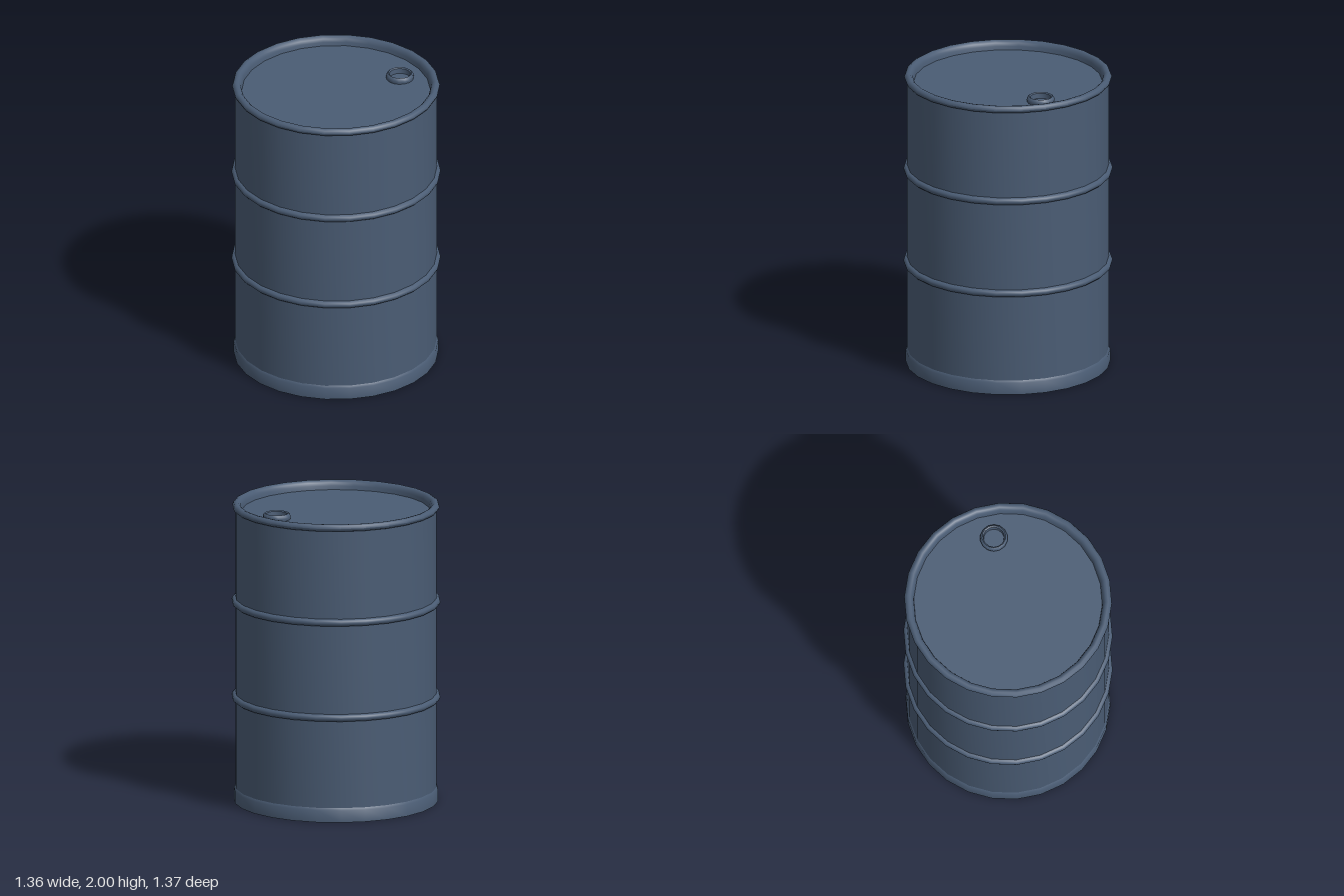
import * as THREE from 'three';
import { toCreasedNormals } from 'three/addons/utils/BufferGeometryUtils.js';

const SIDES = 26;

export function createModel() {
  const group = new THREE.Group();
  const steel = new THREE.MeshStandardMaterial({ color: 0x4a5c74 });
  steel.name = 'blue grey steel';

  // Turns a profile of [radius, height] points, listed counter-clockwise
  function turn(name, profile, sides = SIDES) {
    const points = profile.map(([r, y]) => new THREE.Vector2(r, y));
    const geometry = toCreasedNormals(new THREE.LatheGeometry(points, sides), 0.85);
    const mesh = new THREE.Mesh(geometry, steel);
    mesh.name = name;
    group.add(mesh);
    return mesh;
  }

  // Straight wall of the drum
  turn('body', [[0.66, 0.08], [0.66, 1.96]]);

  // Raised band at the foot, with a recessed floor
  turn('baseBand', [[0.64, 0.03], [0.645, 0], [0.67, 0], [0.67, 0.08], [0.66, 0.095]]);
  turn('floor', [[0, 0.03], [0.64, 0.03]]);

  // Two rolling hoops, half-round in section
  for (const [name, y] of [['lowerHoop', 0.7], ['upperHoop', 1.34]]) {
    const section = [];
    for (let i = 0; i <= 6; i++) {
      const a = -Math.PI / 2 + (i / 6) * Math.PI;
      section.push([0.658 + 0.027 * Math.cos(a), y + 0.025 * Math.sin(a)]);
    }
    turn(name, section);
  }

  // Rolled rim, running down inside to the sunken lid
  turn('rim', [
    [0.658, 1.952], [0.672, 1.958], [0.68, 1.975], [0.673, 1.992], [0.657, 2],
    [0.641, 1.997], [0.628, 1.985], [0.621, 1.965], [0.617, 1.938],
  ]);
  turn('lid', [[0.619, 1.94], [0, 1.94]]);

  // Open filler neck near the edge of the lid
  const bung = turn('fillerNeck', [
    [0.088, 1.938], [0.092, 1.955], [0.088, 1.972], [0.078, 1.98],
    [0.069, 1.974], [0.066, 1.938],
  ], 14);
  bung.position.x = 0.45;

  return group;
}
